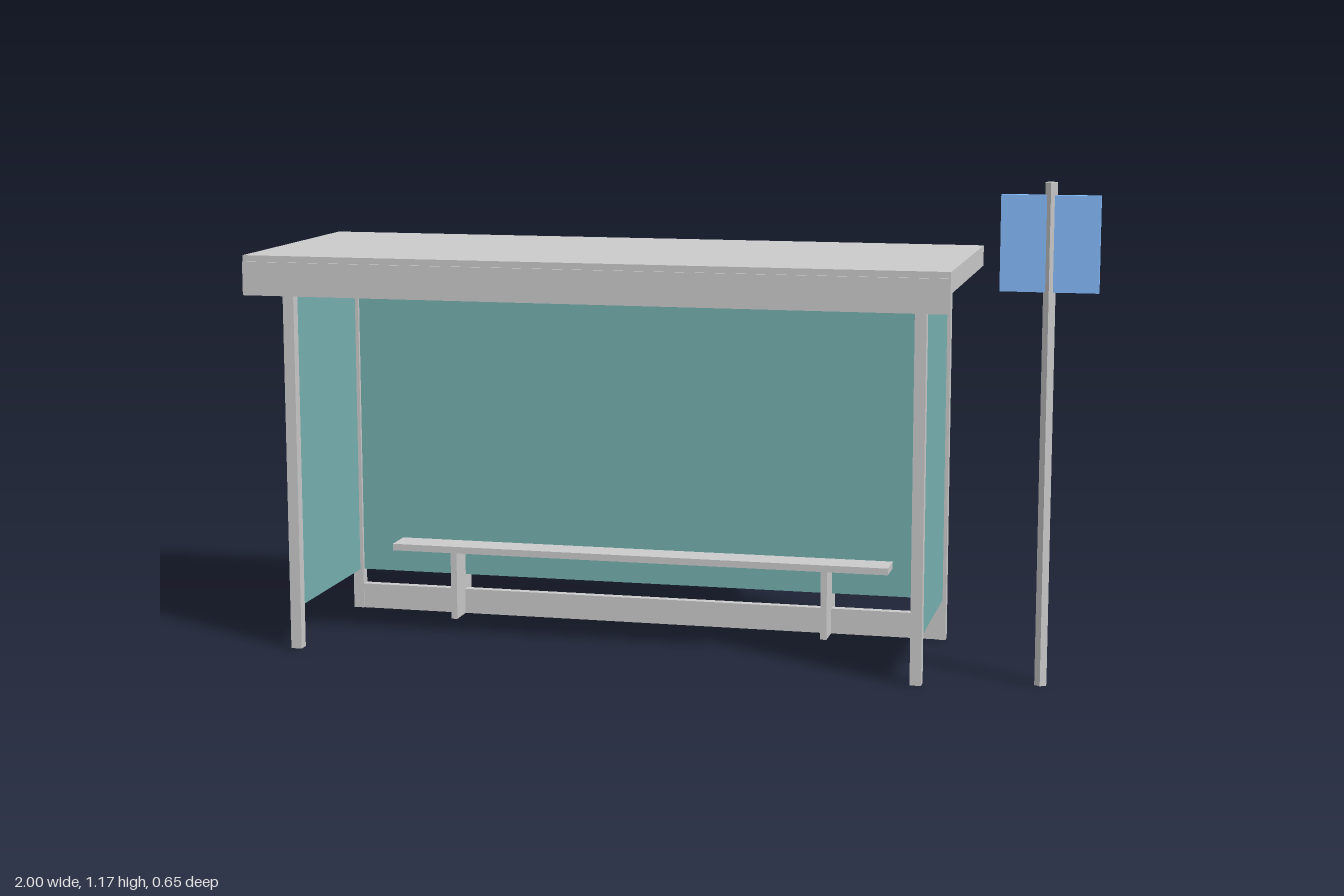
import * as THREE from 'three';

const grey = new THREE.MeshStandardMaterial({ color: 0xcccccc, flatShading: true });
const glass = new THREE.MeshStandardMaterial({ color: 0x77b1b1, flatShading: true });
const blue = new THREE.MeshStandardMaterial({ color: 0x86beff, flatShading: true });

export function createModel() {
  const model = new THREE.Group();

  // Box given by its [min, max] range on each axis
  function box(name, [x0, x1], [y0, y1], [z0, z1], material = grey, parent = model) {
    const mesh = new THREE.Mesh(new THREE.BoxGeometry(x1 - x0, y1 - y0, z1 - z0), material);
    mesh.position.set((x0 + x1) / 2, (y0 + y1) / 2, (z0 + z1) / 2);
    mesh.name = name;
    parent.add(mesh);
  }
  const around = (c, width) => [c - width / 2, c + width / 2];

  // Shelter, centred on its own x = 0
  const shelter = new THREE.Group();
  shelter.name = 'shelter';
  shelter.position.x = -0.158;
  model.add(shelter);
  const part = (name, x, y, z, material = grey) => box(name, x, y, z, material, shelter);

  const postX = 0.764, postZ = 0.221, post = 0.027;
  const innerX = postX - post / 2, innerZ = postZ - post / 2;

  // Corner posts and side panes
  for (const side of [-1, 1]) {
    const label = side > 0 ? 'left' : 'right';
    for (const end of [-1, 1]) {
      part(label + (end > 0 ? 'FrontPost' : 'BackPost'),
        around(side * postX, post), [0, 0.925], around(end * postZ, post));
    }
    part(label + 'Pane', around(side * postX, 0.01), [0.102, 0.905], [-innerZ, innerZ], glass);
  }

  // Back pane and bottom rail
  part('backPane', [-innerX, innerX], [0.102, 0.905], around(-postZ, 0.01), glass);
  part('bottomRail', [-innerX, innerX], [0, 0.064], around(-postZ, 0.022));

  // Roof with front fascia
  part('roof', [-0.842, 0.842], [0.925, 0.975], [-0.323, 0.318]);
  part('fascia', [-0.842, 0.842], [0.88, 0.96], [0.302, 0.323]);

  // Bench
  part('benchSeat', [-0.642, 0.642], [0.174, 0.191], [-0.271, -0.134]);
  for (const side of [-1, 1]) {
    part('benchLeg', around(side * 0.481, 0.016), [0, 0.174], [-0.263, -0.142]);
  }

  // Stop sign on a six-sided pole
  const pole = new THREE.Mesh(new THREE.CylinderGeometry(0.0155, 0.0155, 1.167, 6), grey);
  pole.name = 'signPole';
  pole.position.set(0.888, 1.167 / 2, 0.159);
  model.add(pole);
  box('signBoard', [0.776, 1], [0.918, 1.138], around(0.159, 0.021), blue);

  return model;
}
